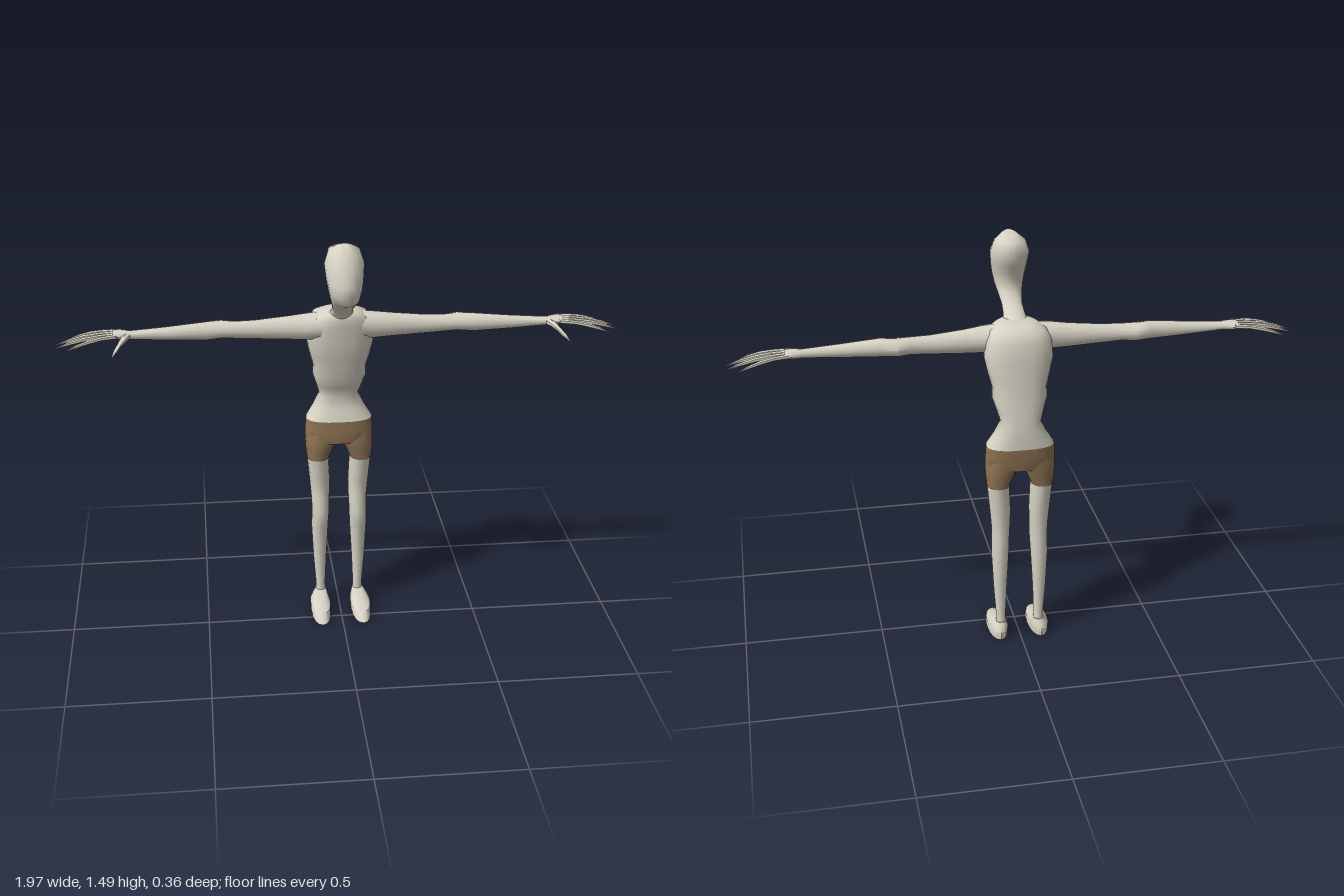
import * as THREE from 'three';
import { toCreasedNormals } from 'three/addons/utils/BufferGeometryUtils.js';

const V = (x, y, z) => new THREE.Vector3(x, y, z);

// Closed skin through rings [centre, halfAxisU, halfAxisV]; power > 2 squares the section.
function loft(rings, sides = 16, power = 2, crease = 0.9) {
  const pos = [], idx = [];
  const soft = (t) => Math.sign(t) * Math.pow(Math.abs(t), 2 / power);
  for (const [c, u, v] of rings) {
    for (let i = 0; i < sides; i++) {
      const a = (i / sides) * Math.PI * 2;
      const p = c.clone().addScaledVector(u, soft(Math.cos(a))).addScaledVector(v, soft(Math.sin(a)));
      pos.push(p.x, p.y, p.z);
    }
  }
  const n = rings.length, first = n * sides, last = first + 1;
  for (const c of [rings[0][0], rings[n - 1][0]]) pos.push(c.x, c.y, c.z);
  for (let i = 0; i < sides; i++) {
    const j = (i + 1) % sides, top = (n - 1) * sides;
    for (let r = 0; r < n - 1; r++) {
      const a = r * sides + i, b = r * sides + j, c = a + sides, d = b + sides;
      idx.push(a, b, d, a, d, c);
    }
    idx.push(first, j, i, last, top + i, top + j);
  }
  // Turn the faces outward when the enclosed volume is negative
  const at = (k) => V(pos[3 * k], pos[3 * k + 1], pos[3 * k + 2]).sub(rings[0][0]);
  let volume = 0;
  for (let k = 0; k < idx.length; k += 3) volume += at(idx[k]).dot(at(idx[k + 1]).cross(at(idx[k + 2])));
  if (volume < 0) idx.reverse();
  const g = new THREE.BufferGeometry();
  g.setAttribute('position', new THREE.Float32BufferAttribute(pos, 3));
  g.setIndex(idx);
  return toCreasedNormals(g, crease);
}

// Ring of the body: front point (z, y), back point (z, y), half width
const bodyRing = ([fz, fy, bz, by, w]) => [
  V(0, (fy + by) / 2, (fz + bz) / 2), V(w, 0, 0), V(0, (fy - by) / 2, (fz - bz) / 2)];
// Level ring of a leg: y, inner x, outer x, back z, front z
const legRing = (s) => ([y, x0, x1, z0, z1]) => [
  V(s * (x0 + x1) / 2, y, (z0 + z1) / 2), V((x1 - x0) / 2, 0, 0), V(0, 0, (z1 - z0) / 2)];
// Upright ring of an arm: x, bottom y, top y, back z, front z
const armRing = (s) => ([x, y0, y1, z0, z1]) => [
  V(s * x, (y0 + y1) / 2, (z0 + z1) / 2), V(0, (y1 - y0) / 2, 0), V(0, 0, (z1 - z0) / 2)];

export function createModel() {
  const group = new THREE.Group();
  const skin = new THREE.MeshStandardMaterial({ color: 0xd6d2c4 });
  skin.name = 'skin';
  const cloth = new THREE.MeshStandardMaterial({ color: 0x8c7152 });
  cloth.name = 'brownCloth';
  const add = (name, geometry, material = skin) => {
    const m = new THREE.Mesh(geometry, material);
    m.name = name;
    group.add(m);
  };

  // Torso, from waistband to shoulders
  add('torso', loft([
    [-0.048, 0.775, -0.18, 0.775, 0.12],
    [-0.06, 0.82, -0.181, 0.82, 0.092],
    [-0.07, 0.865, -0.179, 0.865, 0.07],
    [-0.05, 0.905, -0.175, 0.905, 0.082],
    [-0.03, 0.95, -0.17, 0.95, 0.096],
    [-0.024, 0.985, -0.168, 0.985, 0.094],
    [-0.008, 1.03, -0.165, 1.03, 0.106],
    [0.003, 1.09, -0.162, 1.09, 0.119],
    [0.012, 1.15, -0.158, 1.15, 0.115],
    [0.017, 1.18, -0.142, 1.19, 0.098],
    [0.015, 1.198, -0.115, 1.203, 0.07],
    [0.012, 1.205, -0.07, 1.211, 0.045],
  ].map(bodyRing), 24, 2.6));

  // Forward-leaning neck and smooth head
  add('neckAndHead', loft([
    [0.01, 1.18, -0.075, 1.2, 0.046],
    [0.025, 1.208, -0.03, 1.224, 0.038],
    [0.058, 1.23, 0.014, 1.246, 0.036],
    [0.105, 1.255, 0.043, 1.277, 0.042],
    [0.158, 1.282, 0.047, 1.308, 0.05],
    [0.181, 1.318, 0.036, 1.342, 0.057],
    [0.178, 1.352, 0.02, 1.375, 0.063],
    [0.16, 1.41, 0.003, 1.415, 0.068],
    [0.138, 1.45, 0.011, 1.46, 0.054],
    [0.115, 1.478, 0.05, 1.472, 0.027],
    [0.102, 1.486, 0.085, 1.482, 0.008],
  ].map(bodyRing), 20, 2, 1.2));

  // Hips of the shorts
  add('shortsHips', loft([
    [-0.046, 0.69, -0.172, 0.69, 0.09],
    [-0.044, 0.705, -0.174, 0.705, 0.123],
    [-0.046, 0.74, -0.179, 0.74, 0.123],
    [-0.048, 0.775, -0.18, 0.775, 0.12],
  ].map(bodyRing), 24, 2.6), cloth);

  for (const s of [1, -1]) {
    const side = s > 0 ? 'left' : 'right';

    add(side + 'ShortsLeg', loft([
      [0.62, 0.038, 0.118, -0.162, -0.054],
      [0.66, 0.021, 0.122, -0.167, -0.05],
      [0.695, 0.002, 0.124, -0.172, -0.046],
      [0.74, 0.0, 0.115, -0.17, -0.055],
    ].map(legRing(s)), 16, 2.3), cloth);

    add(side + 'Leg', loft([
      [0.05, 0.05, 0.089, -0.132, -0.092],
      [0.08, 0.053, 0.087, -0.131, -0.093],
      [0.2, 0.048, 0.096, -0.138, -0.087],
      [0.34, 0.04, 0.103, -0.145, -0.075],
      [0.405, 0.037, 0.101, -0.146, -0.055],
      [0.46, 0.035, 0.103, -0.143, -0.077],
      [0.52, 0.033, 0.108, -0.151, -0.067],
      [0.62, 0.038, 0.117, -0.161, -0.055],
    ].map(legRing(s)), 14));

    add(side + 'Foot', loft([
      [0, 0.04, 0.112, -0.152, 0.063],
      [0.03, 0.038, 0.113, -0.154, 0.032],
      [0.045, 0.044, 0.102, -0.147, -0.03],
      [0.062, 0.051, 0.089, -0.134, -0.092],
    ].map(legRing(s)), 16, 2.2, 0.7));

    // Arm with a pointed elbow, ending in the palm
    add(side + 'Arm', loft([
      [0.07, 1.1, 1.198, -0.105, 0.005],
      [0.12, 1.098, 1.194, -0.093, -0.004],
      [0.18, 1.1, 1.186, -0.087, -0.016],
      [0.3, 1.106, 1.174, -0.08, -0.025],
      [0.37, 1.11, 1.172, -0.081, -0.026],
      [0.415, 1.111, 1.173, -0.102, -0.025],
      [0.47, 1.108, 1.174, -0.079, -0.023],
      [0.6, 1.114, 1.162, -0.071, -0.026],
      [0.73, 1.122, 1.152, -0.066, -0.03],
      [0.765, 1.123, 1.155, -0.082, -0.022],
      [0.79, 1.126, 1.152, -0.086, -0.018],
    ].map(armRing(s)), 12));

    // Four drooping, tapering fingers: base z, tip z, tip x, tip y
    [[-0.078, -0.106, 0.945, 1.107], [-0.06, -0.066, 0.985, 1.103],
      [-0.041, -0.029, 0.985, 1.103], [-0.024, 0.01, 0.945, 1.107]].forEach(([z0, z1, tx, ty], i) => {
      const rings = [[0, 0.009], [0.3, 0.0075], [0.55, 0.008], [0.8, 0.006], [1, 0.001]].map(([t, r]) => [
        V(s * (0.775 + (tx - 0.775) * t), 1.141 + (ty - 1.141) * t * t, z0 + (z1 - z0) * t),
        V(0, r, 0), V(0, 0, r)]);
      add(side + 'Finger' + (i + 1), loft(rings, 6));
    });

    // Thumb pointing forward
    add(side + 'Thumb', loft([
      [0.738, 1.137, -0.04, 0.016], [0.75, 1.134, -0.012, 0.012], [0.764, 1.126, 0.022, 0.008],
      [0.776, 1.116, 0.052, 0.007], [0.79, 1.102, 0.082, 0.001],
    ].map(([x, y, z, r]) => [V(s * x, y, z), V(0, r * 0.8, 0), V(r, 0, 0)]), 6));
  }
  return group;
}
